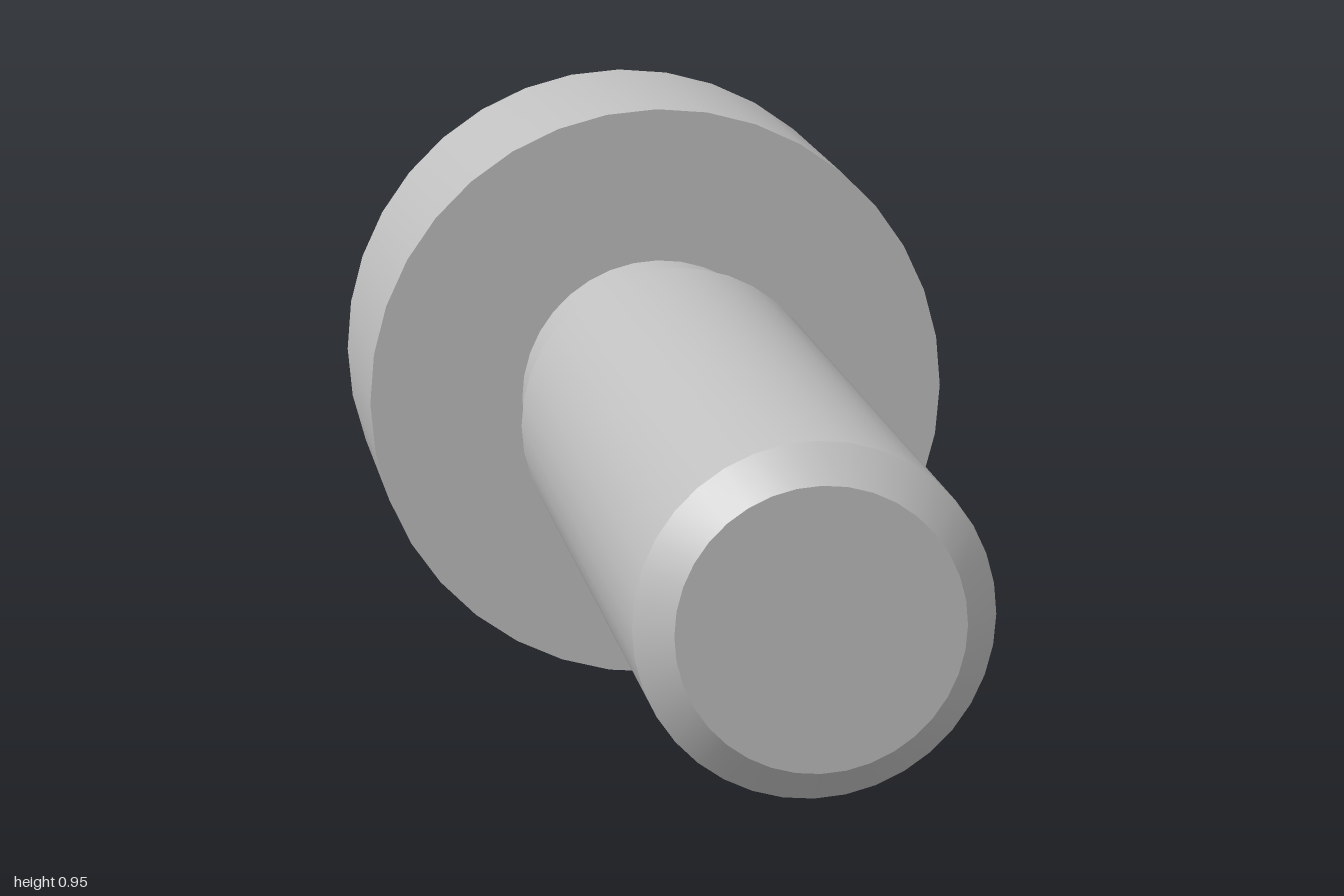
import * as THREE from 'three';
import { toCreasedNormals } from 'three/addons/utils/BufferGeometryUtils.js';

const SIDES = 36;
const HEAD_R = 0.475, NECK_R = 0.225, SHAFT_R = 0.25, SOCKET_R = 0.22;
const BEVEL = 0.05;
const AXIS_Y = HEAD_R; // the screw lies on the rim of its head

// Points of a regular polygon with one corner pointing straight up
function ring(radius, sides) {
  return Array.from({ length: sides }, (_, i) => {
    const a = Math.PI / 2 + (i / sides) * Math.PI * 2;
    return new THREE.Vector2(radius * Math.cos(a), radius * Math.sin(a));
  });
}

// Turns a [radius, z] profile around the z axis, keeping its rims sharp
function turned(profile, sides = SIDES) {
  const points = profile.map(([r, z]) => new THREE.Vector2(r, z));
  const geometry = new THREE.LatheGeometry(points, sides).rotateX(Math.PI / 2);
  return toCreasedNormals(geometry, 0.5);
}

export function createModel() {
  const steel = new THREE.MeshStandardMaterial({ color: 0xc0c0c0 });
  steel.name = 'steel grey';

  const screw = new THREE.Group();
  screw.name = 'socketHeadScrew';

  function add(name, geometry) {
    const mesh = new THREE.Mesh(geometry, steel);
    mesh.name = name;
    mesh.position.y = AXIS_Y;
    screw.add(mesh);
  }

  // Head: bevelled back rim, cylindrical side, flat underside
  add('head', turned([
    [HEAD_R - BEVEL, -1], [HEAD_R, -1 + BEVEL], [HEAD_R, -0.5], [0, -0.5],
  ]));

  // Flat end of the head, pierced by the hexagonal opening
  const face = new THREE.Shape(ring(HEAD_R - BEVEL, SIDES));
  face.holes.push(new THREE.Path(ring(SOCKET_R, 6)));
  add('headFace', new THREE.ShapeGeometry(face).rotateY(Math.PI).translate(0, 0, -1));

  // Hexagonal recess: floor and inward-facing walls
  add('hexSocket', turned([[0, -0.75], [SOCKET_R, -0.75], [SOCKET_R, -1]], 6));

  // Narrow neck under the head
  add('neck', turned([[NECK_R, -0.5], [NECK_R, -0.3]]));

  // Shaft with a shoulder at the neck and a bevelled tip
  add('shaft', turned([
    [0, -0.3], [SHAFT_R, -0.3], [SHAFT_R, 1 - BEVEL], [SHAFT_R - BEVEL, 1], [0, 1],
  ]));

  return screw;
}
